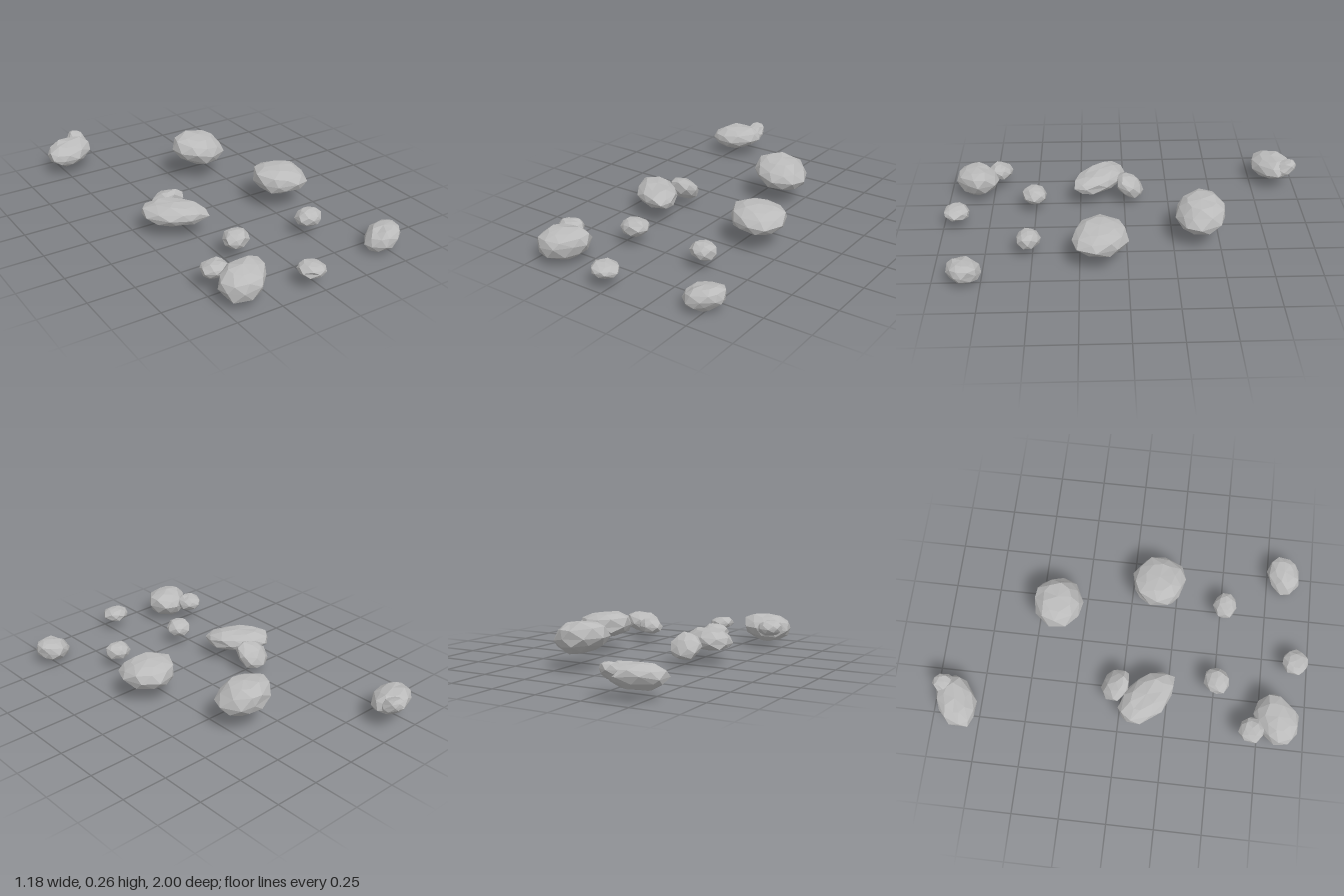
import * as THREE from 'three';

// Cross-section levels of a rock, bottom to top: relative height and width
const LEVELS = [
  { h: -0.88, s: 0.5 },
  { h: -0.5, s: 0.88 },
  { h: 0, s: 1.03 },
  { h: 0.5, s: 0.92 },
  { h: 0.88, s: 0.58 },
];

function makeRandom(seed) {
  let s = seed * 7919 + 13;
  return () => ((s = (s * 16807) % 2147483647) / 2147483647) - 0.5;
}

// Faceted rock: a slanted ellipsoid of staggered, jittered rings.
// size = half extents, skew = diagonal stretch seen from above, tilt = rise per unit x and z
function rockGeometry(size, skew, tiltX, tiltZ, sides, seed) {
  const random = makeRandom(seed);
  const [w, h, d] = size;
  const rise = Math.sqrt(h * h - (tiltX * w) ** 2 - (tiltZ * d) ** 2);
  const positions = [];
  const addPoint = (x, level, z) => positions.push(x, level * rise + x * tiltX + z * tiltZ, z);

  // Stacked rings, every other one turned by half a side
  LEVELS.forEach((level, k) => {
    for (let i = 0; i < sides; i++) {
      const t = ((i + (k % 2) / 2 + random() * 0.4) / sides) * Math.PI * 2;
      const s = level.s * (1 + random() * 0.12);
      addPoint(w * s * Math.cos(t), level.h + random() * 0.2, d * s * Math.sin(t + skew));
    }
  });
  const bottom = LEVELS.length * sides;
  addPoint(0, -1, 0);
  addPoint(0, 1, 0);

  // Facets between rings, then the two caps
  const index = [];
  const last = bottom - sides;
  for (let i = 0; i < sides; i++) {
    const j = (i + 1) % sides;
    for (let k = 0; k < LEVELS.length - 1; k++) {
      const a = k * sides;
      const b = a + sides;
      if (k % 2) index.push(a + i, b + i, b + j, a + j, a + i, b + j);
      else index.push(a + j, a + i, b + i, a + j, b + i, b + j);
    }
    index.push(i, j, bottom, last + j, last + i, bottom + 1);
  }
  const geometry = new THREE.BufferGeometry();
  geometry.setAttribute('position', new THREE.Float32BufferAttribute(positions, 3));
  geometry.setIndex(index);
  const faceted = geometry.toNonIndexed();
  faceted.computeVertexNormals();
  return faceted;
}

export function createModel() {
  const group = new THREE.Group();
  group.name = 'scatteredRocks';
  const stone = new THREE.MeshStandardMaterial({ color: 0xbababa, flatShading: true });
  stone.name = 'greyStone';

  const addRock = (name, center, size, { skew = 0, tiltX = 0, tiltZ = 0 } = {}) => {
    const sides = size[0] > 0.1 ? 9 : 7;
    const seed = group.children.length + 1;
    const rock = new THREE.Mesh(rockGeometry(size, skew, tiltX, tiltZ, sides, seed), stone);
    rock.name = name;
    rock.position.set(...center);
    group.add(rock);
  };

  // Back rocks
  addRock('backLeftRock', [-0.46, 0.11, -0.865], [0.138, 0.065, 0.108], { skew: -0.3, tiltZ: -0.1 });
  addRock('backLeftSpur', [-0.375, 0.135, -0.935], [0.055, 0.045, 0.065], { tiltZ: -0.3 });
  addRock('backBoulder', [0.145, 0.167, -0.395], [0.145, 0.088, 0.133], { tiltX: -0.12, tiltZ: -0.05 });

  // Middle rocks
  addRock('middleLeftPebble', [-0.27, 0.098, -0.03], [0.088, 0.068, 0.075], { skew: 0.1, tiltZ: 0.4 });
  addRock('middleLeftRock', [-0.325, 0.118, 0.14], [0.152, 0.058, 0.142], { skew: 0.5 });
  addRock('middleRightBoulder', [0.335, 0.15, 0.143], [0.148, 0.075, 0.143], { skew: 0.05, tiltX: -0.04 });
  addRock('leftPebble', [-0.185, 0.098, 0.508], [0.073, 0.048, 0.068], { skew: -0.1 });
  addRock('rightPebble', [0.257, 0.096, 0.52], [0.073, 0.046, 0.063]);

  // Front rocks
  addRock('frontLeftPebble', [-0.44, 0.112, 0.712], [0.072, 0.043, 0.066]);
  addRock('frontLeftBoulder', [-0.37, 0.098, 0.84], [0.13, 0.082, 0.122], { skew: -0.2, tiltX: 0.08 });
  addRock('frontPebble', [-0.03, 0.088, 0.925], [0.073, 0.036, 0.072], { tiltX: -0.05 });
  addRock('frontRightRock', [0.487, 0.066, 0.835], [0.106, 0.064, 0.09], { skew: -0.15, tiltX: 0.18 });
  return group;
}
